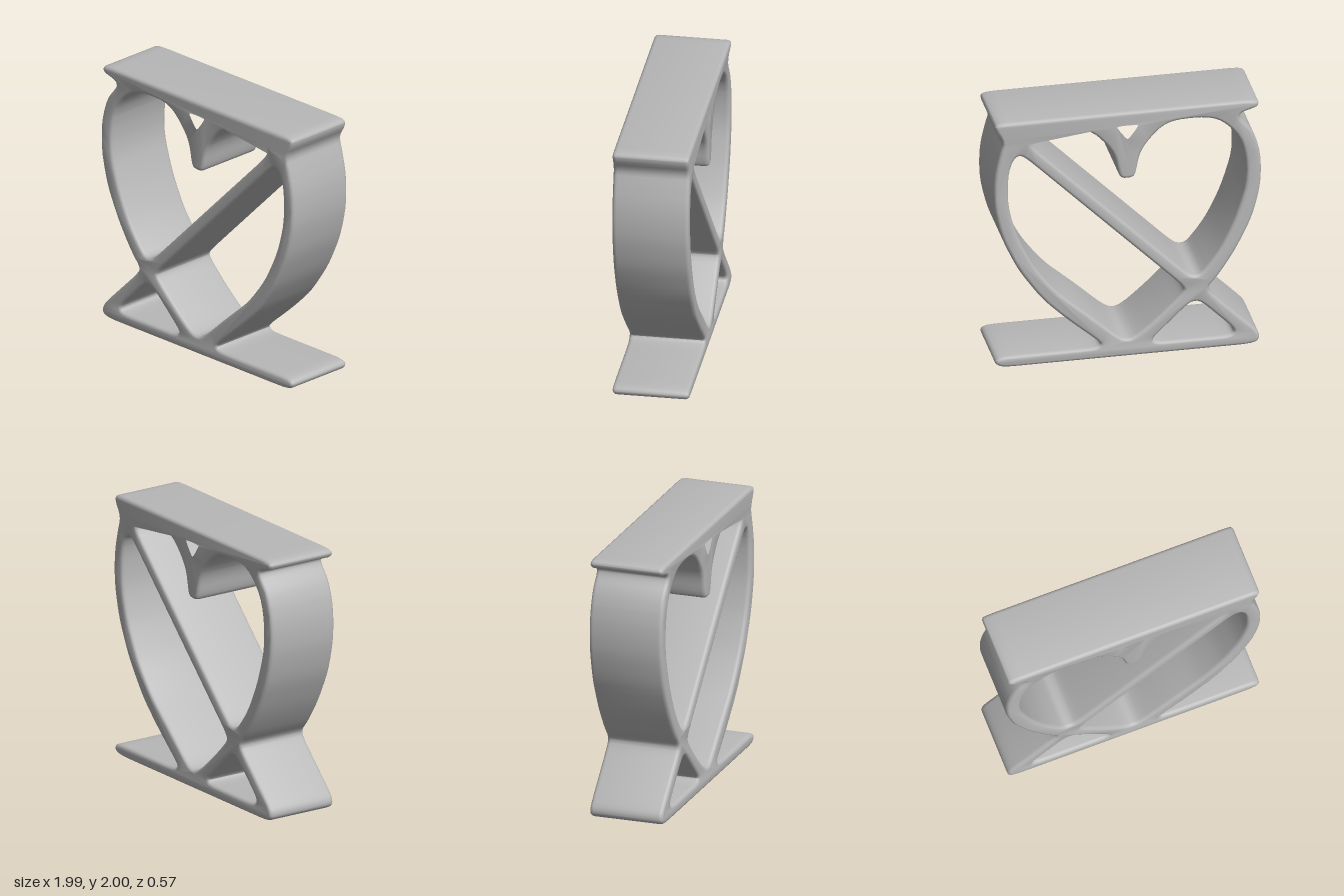
import * as THREE from 'three';
import { toCreasedNormals } from 'three/addons/utils/BufferGeometryUtils.js';

// Closed outline through [x, y] corners, each corner eased by a small curve
function rounded(points, Type, radius = 0.1) {
  const p = points.map(([x, y]) => new THREE.Vector2(x, y));
  const n = p.length;
  const toward = (a, b) => {
    const d = a.distanceTo(b);
    return a.clone().lerp(b, Math.min(radius, d * 0.47) / d);
  };
  const path = new Type();
  p.forEach((corner, i) => {
    const start = toward(corner, p[(i + n - 1) % n]);
    const end = toward(corner, p[(i + 1) % n]);
    if (i === 0) path.moveTo(start.x, start.y);
    else path.lineTo(start.x, start.y);
    path.quadraticCurveTo(corner.x, corner.y, end.x, end.y);
  });
  path.closePath();
  return path;
}

export function createModel() {
  const group = new THREE.Group();
  group.name = 'heartFrameStand';
  const grey = new THREE.MeshStandardMaterial({ color: 0xb8b8b8 });
  grey.name = 'plain grey';

  // Outer outline: top slab, right side of the heart, foot slab, strut, left side
  const outline = rounded([
    [-0.98, 2.0], [0.985, 2.0], [0.985, 1.94], [0.92, 1.84], [0.95, 1.75], [0.995, 1.55],
    [0.995, 1.31], [0.935, 1.05], [0.81, 0.78], [0.63, 0.52], [0.44, 0.335], [0.22, 0.145],
    [0.195, 0.11], [0.25, 0.09], [0.93, 0.09], [0.985, 0.07], [0.985, 0.03], [0.93, 0],
    [-0.93, 0], [-0.985, 0.03], [-0.985, 0.08], [-0.95, 0.13], [-0.61, 0.465], [-0.605, 0.51],
    [-0.68, 0.59], [-0.81, 0.79], [-0.935, 1.05], [-0.998, 1.31], [-0.998, 1.55],
    [-0.94, 1.75], [-0.84, 1.86], [-0.845, 1.9], [-0.89, 1.915], [-0.98, 1.94],
  ], THREE.Shape);

  // Opening above the diagonal bar, with the pointed dip of the heart
  const dip = [[0.59, 1.895], [0.36, 1.895], [0.25, 1.85], [0.145, 1.735], [0.09, 1.64],
    [0.065, 1.49], [0.04, 1.455]];
  const upperOpening = [
    [-0.49, 0.61], [-0.45, 0.625], [0.71, 1.785], [0.715, 1.84], [0.66, 1.88],
    ...dip, ...dip.map(([x, y]) => [-x, y]).reverse(),
    [-0.71, 1.85], [-0.84, 1.71], [-0.887, 1.53], [-0.887, 1.31], [-0.8, 1.03],
    [-0.69, 0.8], [-0.57, 0.64], [-0.53, 0.61],
  ];

  // Opening below the diagonal bar
  const lowerOpening = [
    [0.81, 1.725], [0.76, 1.7], [-0.42, 0.52], [-0.42, 0.48], [-0.23, 0.295], [-0.07, 0.16],
    [0, 0.135], [0.065, 0.16], [0.28, 0.36], [0.52, 0.57], [0.69, 0.79], [0.82, 1.055],
    [0.887, 1.31], [0.887, 1.56], [0.855, 1.68],
  ];

  // Triangle between the strut and the foot, and the small one under the top slab
  const footOpening = [
    [-0.51, 0.395], [-0.55, 0.385], [-0.79, 0.145], [-0.795, 0.11], [-0.755, 0.09],
    [-0.23, 0.09], [-0.185, 0.11], [-0.21, 0.145], [-0.46, 0.385],
  ];
  const topOpening = [
    [-0.115, 1.89], [-0.085, 1.917], [0.085, 1.917], [0.115, 1.89], [0.03, 1.77],
    [0, 1.757], [-0.03, 1.77],
  ];
  for (const opening of [upperOpening, lowerOpening, footOpening, topOpening]) {
    outline.holes.push(rounded(opening, THREE.Path));
  }

  // One continuous band with softened front and back edges
  const edge = 0.024, round = 0.03, depth = 0.565;
  const geometry = new THREE.ExtrudeGeometry(outline, {
    depth: depth - 2 * round,
    curveSegments: 3,
    bevelSize: edge,
    bevelOffset: -edge,
    bevelThickness: round,
    bevelSegments: 3,
  });
  geometry.translate(0, 0, round - depth / 2);
  const frame = new THREE.Mesh(toCreasedNormals(geometry, 0.7), grey);
  frame.name = 'heartFrame';
  group.add(frame);
  return group;
}
